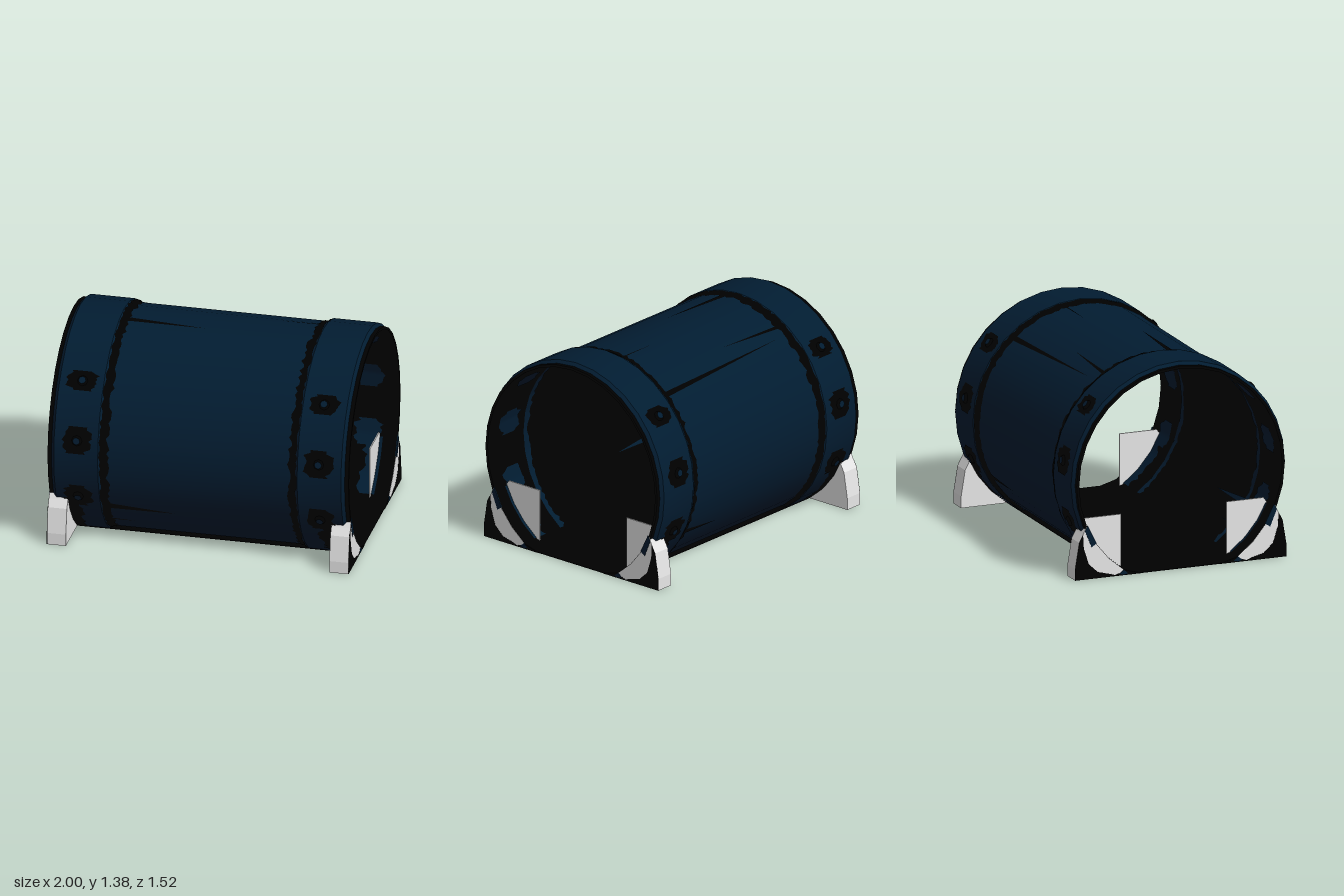
import * as THREE from 'three';
import { toCreasedNormals } from 'three/addons/utils/BufferGeometryUtils.js';

const CY = 0.626;              // height of the barrel axis
const FACET = Math.PI / 16;    // 32-sided barrel
const RAD = Math.PI / 180;
const BAND = 0.749, BODY = 0.727, INNER = 0.711;
const END = 0.996;             // half length of the barrel

export function createModel() {
  const group = new THREE.Group();
  const mat = (name, color) =>
    Object.assign(new THREE.MeshStandardMaterial({ color, side: THREE.DoubleSide }), { name });
  const navy = mat('navy', 0x021c31);
  const black = mat('black', 0x000000);
  const white = mat('white', 0xe8e8e8);

  let seed = 7;
  const rand = () => (seed = (seed * 16807) % 2147483647) / 2147483647;
  const jit = (a) => (rand() - 0.5) * 2 * a;

  const add = (name, geo, material) => {
    const mesh = new THREE.Mesh(geo, material);
    mesh.name = name;
    group.add(mesh);
    return mesh;
  };

  // Point on the 32-sided surface; angle is measured from the top towards +z
  const onBarrel = (x, angle, r) => {
    const local = angle - Math.floor(angle / FACET) * FACET - FACET / 2;
    const k = (r * Math.cos(FACET / 2)) / Math.cos(local);
    return [x, Math.max(0, CY + k * Math.cos(angle)), k * Math.sin(angle)];
  };

  // Open ring swept round the x axis from [x, r] points, cut flat at the ground
  const ring = (name, profile, material) => {
    const geo = new THREE.LatheGeometry(
      profile.map(([x, r]) => new THREE.Vector2(r, x)), 28, Math.PI * 1.5 - 14 * FACET, 28 * FACET);
    geo.rotateZ(-Math.PI / 2);
    geo.translate(0, CY, 0);
    const p = geo.attributes.position;
    for (let i = 0; i < p.count; i++) p.setY(i, Math.max(0, p.getY(i)));
    add(name, toCreasedNormals(geo, 0.4), material);
  };

  // Painted sheet on the barrel from rows of [x, angle, r] points
  const sheet = (name, rows, material) => {
    const pos = [], idx = [];
    const n = rows[0].length;
    rows.forEach((row, i) => {
      row.forEach((p) => pos.push(...onBarrel(...p)));
      for (let j = 0; i > 0 && j < n - 1; j++) {
        const a = (i - 1) * n + j, b = i * n + j;
        idx.push(a, b, b + 1, a, b + 1, a + 1);
      }
    });
    const geo = new THREE.BufferGeometry();
    geo.setAttribute('position', new THREE.Float32BufferAttribute(pos, 3));
    geo.setIndex(idx);
    geo.computeVertexNormals();
    add(name, geo, material);
  };

  // Black paint outside, with its navy counterpart on the black lining
  const paint = (name, rows, r) => {
    const at = (radius) => rows.map((row) => row.map(([x, a]) => [x, a, radius]));
    sheet(name, at(r + 0.004), black);
    sheet(name + 'Lining', at(INNER - 0.005), navy);
  };

  // Barrel skin with a raised band at each end
  const half = [[0.63, BODY], [0.66, BAND], [0.95, BAND], [0.97, 0.729]];
  const mirrored = half.map(([x, r]) => [-x, r]).reverse();
  ring('barrelSkin', [...mirrored, ...half], navy);
  ring('barrelLining', [[END, INNER], [-END, INNER]], black);
  ring('rightRim', [[-END, INNER], [-END, 0.729], [-0.97, 0.729]], black);
  ring('leftRim', [[0.97, 0.729], [END, 0.729], [END, INNER]], black);

  // Flat floor closing the barrel: black above, navy below
  const floor = add('floor', new THREE.BoxGeometry(2 * END, 0.004, 0.84),
    [black, black, black, navy, black, black]);
  floor.position.y = 0.002;

  for (const sx of [-1, 1]) {
    // Ragged dark line along the inner edge of each band
    const line = [], lining = [];
    for (let d = -146; d <= 146; d += 2) {
      const a = d * RAD;
      const edge = sx * (0.6 + jit(0.014)), top = sx * (0.652 + jit(0.008));
      line.push([[edge, a, BODY + 0.004], [sx * 0.63, a, BODY + 0.004], [top, a, BAND - 0.001]]);
      lining.push([[edge, a, INNER - 0.004], [sx * 0.645, a, INNER - 0.004]]);
    }
    sheet('bandEdge', line, black);
    sheet('bandEdgeLining', lining, navy);

    for (const sz of [-1, 1]) {
      // Bolts with ragged dark surrounds: angle from top, half length, half width
      for (const [deg, len, wid] of [[50, 5, 0.095], [80, 7, 0.09], [112, 7, 0.085]]) {
        const surround = [];
        for (let t = -1; t <= 1.001; t += 0.2) {
          const w = wid * (Math.abs(t) > 0.7 ? 0.65 : 1);
          const a = sz * (deg + t * len) * RAD;
          surround.push([[sx * 0.8 - w + jit(0.015), a], [sx * 0.8 + w + jit(0.015), a]]);
        }
        paint('boltSurround', surround, BAND);

        const bolt = add('bolt', new THREE.CylinderGeometry(0.024, 0.042, 0.028, 8), [black, navy, black]);
        bolt.position.set(...onBarrel(sx * 0.8, sz * deg * RAD, BAND + 0.007));
        bolt.rotation.x = sz * deg * RAD;
      }

      // Dark wear beside each foot
      const wear = [];
      for (let d = 114; d <= 146; d += 2) {
        wear.push([[sx * (0.79 + jit(0.025)), sz * d * RAD], [sx * 0.9, sz * d * RAD]]);
      }
      paint('footWear', wear, BAND);

      // Slab with a cross-section in z and y, running along x
      const slab = (name, pts, x0, x1, material) => {
        const shape = new THREE.Shape(pts.map(([z, y]) => new THREE.Vector2(-sz * z, y)));
        const geo = new THREE.ExtrudeGeometry(shape, { depth: x1 - x0, bevelEnabled: false });
        geo.rotateY(Math.PI / 2);
        geo.translate(sx > 0 ? x0 : -x1, 0, 0);
        add(name, geo, material);
      };
      // Foot: a block outside the barrel wall and a plate reaching inside it
      const outer = [[0.74, 0], [0.74, 0.08], [0.712, 0.25], [0.685, 0.3]];
      slab('foot', [[0.4, 0], ...outer, [0.66, 0.352], [0.594, 0.231], [0.505, 0.123], [0.398, 0.035]],
        0.88, 0.9975, white);
      slab('footPlate', [[0.37, 0], ...outer, [0.63, 0.375], [0.37, 0.375]], 0.872, 0.88, white);
      slab('footEndPaint', [[0.28, 0], ...outer, [0.68, 0.21], [0.645, 0.1], [0.58, 0.04],
        [0.5, 0.02], [0.46, 0.006], [0.39, 0.03]], 0.995, 0.999, black);
      slab('rimBrace', [[0.672, 0.325], [0.652, 0.36], [0.59, 0.235], [0.625, 0.212]], 0.994, 1, navy);
      slab('rimToe', [[0.37, 0.01], [0.4, 0.037], [0.43, 0.012], [0.4, 0.004]], 0.994, 1, navy);
    }
  }

  // Tapering cracks: base x, base angles, tip x, tip angle
  for (const [x, a0, a1, tipX, tip] of [
    [-0.62, 117.5, 121.5, -0.17, 121], [-0.62, 132, 133.2, -0.45, 133],
    [0.62, -42.5, -39.5, -0.52, -37], [-0.62, -32, -30, -0.1, -29.3],
    [-0.62, 5.5, 9, -0.1, 9], [0.62, -9.5, -8.7, 0.33, -9], [0.62, -121, -118, 0.3, -121],
  ]) {
    const rows = [];
    for (let t = 0; t <= 1; t += 0.125) {
      rows.push([a0, a1].map((a) => [x + (tipX - x) * t, (a + (tip - a) * t) * RAD]));
    }
    paint('crack', rows, BODY);
  }

  return group;
}
